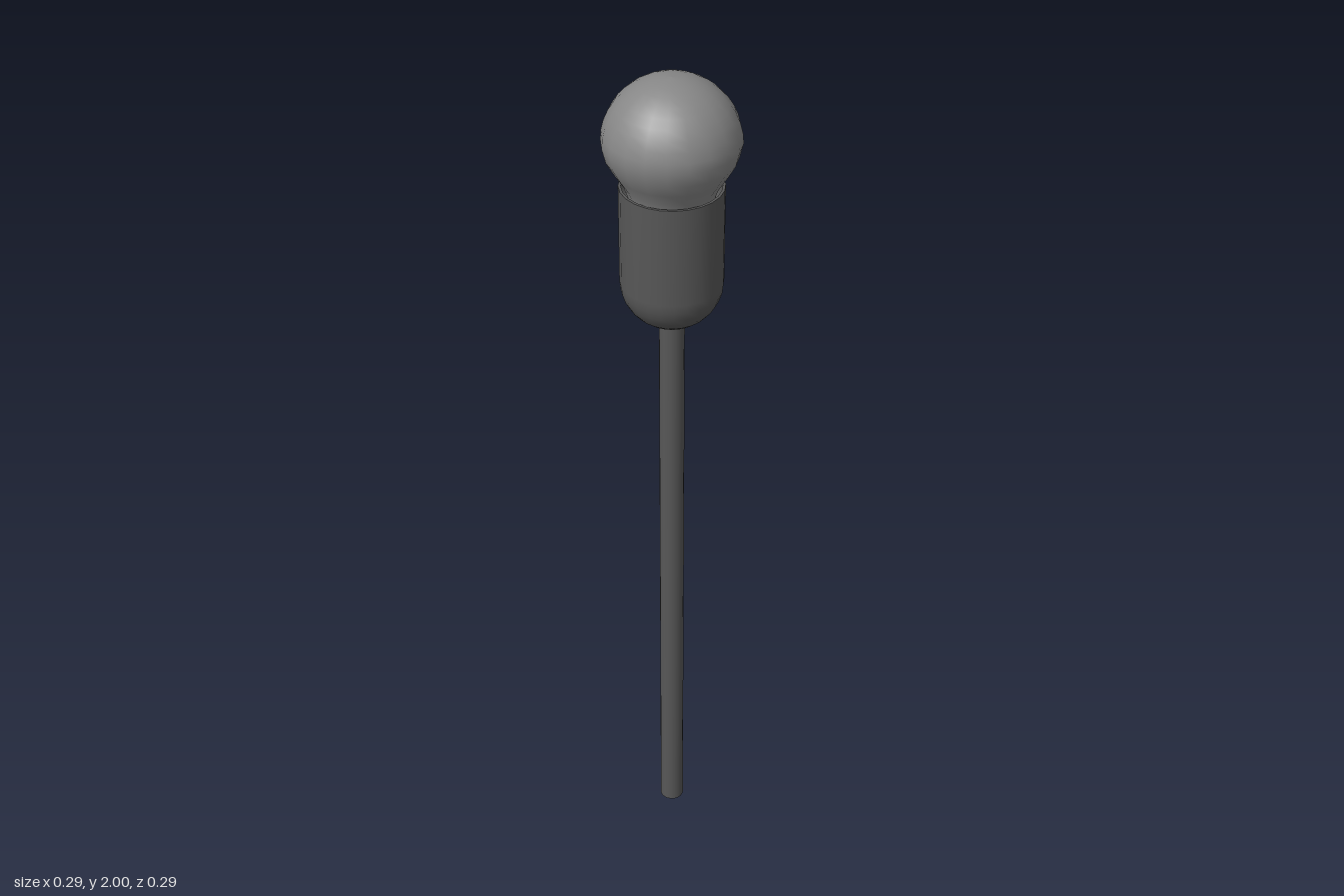
import * as THREE from 'three';

export function createModel() {
  const model = new THREE.Group();
  const darkGrey = new THREE.MeshStandardMaterial({ color: 0x575757 });
  const midGrey = new THREE.MeshStandardMaterial({ color: 0x878787 });

  const add = (name, geometry, material) => {
    const mesh = new THREE.Mesh(geometry, material);
    mesh.name = name;
    model.add(mesh);
    return mesh;
  };
  const lathe = (points, sides) =>
    new THREE.LatheGeometry(points.map(([r, y]) => new THREE.Vector2(r, y)), sides);

  // Straight cord, ending inside the socket
  add('cord', new THREE.CylinderGeometry(0.028, 0.028, 1.45, 20), darkGrey).position.y = 0.725;

  // Socket: rounded bottom running into a straight wall
  const shell = [];
  for (let i = 0; i <= 8; i++) {
    const a = (i / 8) * Math.PI / 2;
    shell.push([0.112 * Math.sin(a), 1.53 - 0.107 * Math.cos(a)]);
  }
  shell.push([0.112, 1.757]);
  add('socket', lathe(shell, 24), darkGrey);

  // Thin rim and recessed inside of the socket
  add('socketRim', lathe([[0.112, 1.757], [0.106, 1.757]], 24), darkGrey);
  add('socketInside', lathe([[0.106, 1.757], [0.106, 1.70], [0, 1.70]], 24), darkGrey);

  // Bulb: neck flaring out into a round globe
  const bulb = [[0.085, 1.70], [0.092, 1.735], [0.103, 1.765], [0.122, 1.795], [0.139, 1.825]];
  for (let i = 0; i <= 10; i++) {
    const a = (i / 10) * Math.PI / 2;
    bulb.push([0.147 * Math.cos(a), 1.857 + 0.143 * Math.sin(a)]);
  }
  add('bulb', lathe(bulb, 20), midGrey);

  return model;
}
